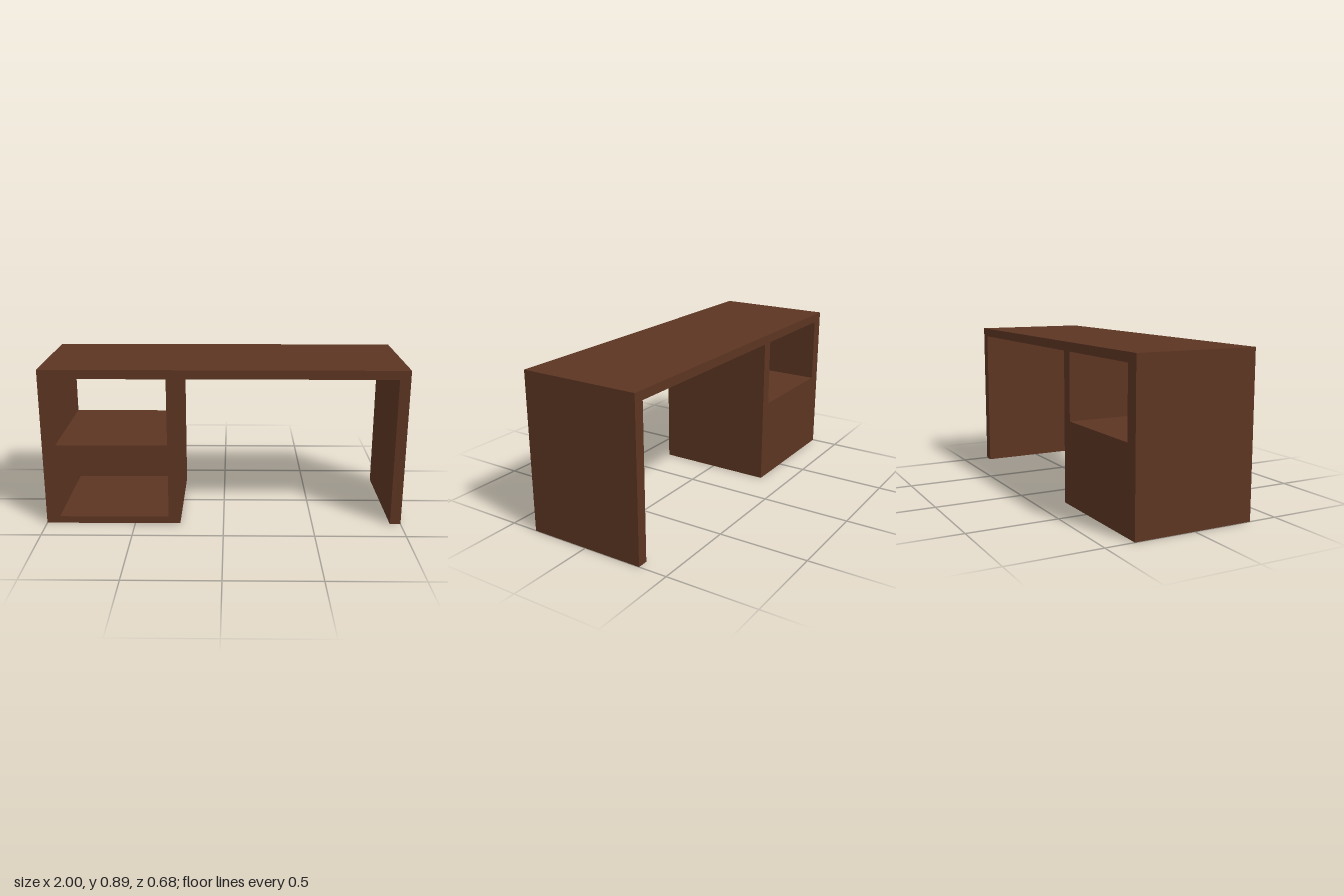
import * as THREE from 'three';

const HEIGHT = 0.89, HALF_DEPTH = 0.34;

export function createModel() {
  const desk = new THREE.Group();
  desk.name = 'desk';
  const wood = new THREE.MeshStandardMaterial({ color: 0x5c3522 });
  wood.name = 'brown wood';

  // Board given by its extents on each axis; full depth unless stated
  const board = (name, [x0, x1], [y0, y1], [z0, z1] = [-HALF_DEPTH, HALF_DEPTH]) => {
    const mesh = new THREE.Mesh(new THREE.BoxGeometry(x1 - x0, y1 - y0, z1 - z0), wood);
    mesh.position.set((x0 + x1) / 2, (y0 + y1) / 2, (z0 + z1) / 2);
    mesh.name = name;
    desk.add(mesh);
  };

  const topUnderside = 0.84;
  const bay = [-0.925, -0.31]; // clear width inside the pedestal

  // Top and the three upright panels
  board('deskTop', [-1, 1], [topUnderside, HEIGHT]);
  board('outerSidePanel', [-1, bay[0]], [0, topUnderside]);
  board('innerSidePanel', [bay[1], -0.245], [0, topUnderside]);
  board('legPanel', [0.94, 1], [0, topUnderside]);

  // Pedestal: open shelf above, closed-back cubby below
  board('pedestalFloor', bay, [0, 0.04]);
  board('pedestalShelf', bay, [0.415, 0.465]);
  board('cubbyBack', bay, [0.04, 0.415], [-HALF_DEPTH, -0.285]);

  return desk;
}
